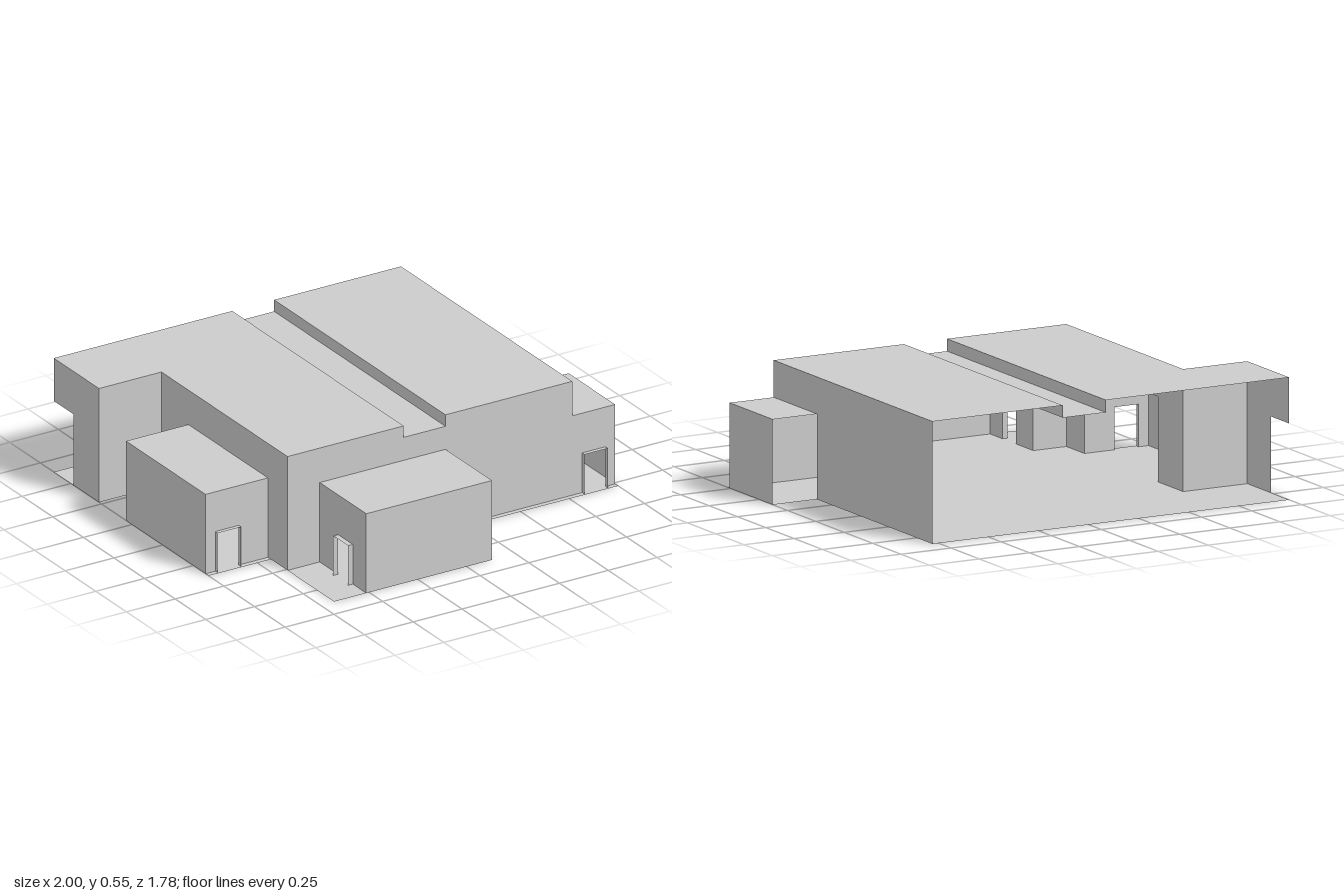
import * as THREE from 'three';

const H = 0.545;   // main roof height
const LOW = 0.38;  // annex roof height
const DOOR = 0.19; // door height
const material = new THREE.MeshStandardMaterial({ color: 0xcccccc, side: THREE.DoubleSide });

// How a flat outline (u, v) is placed for each facing direction
const place = {
  x: (u, v, at) => [at, v, u],
  y: (u, v, at) => [u, at, v],
  z: (u, v, at) => [u, v, at],
};

// Thin flat panel at a fixed coordinate on one axis
function panel(name, axis, at, outline) {
  const shape = new THREE.Shape(outline.map(([u, v]) => new THREE.Vector2(u, v)));
  const geo = new THREE.ShapeGeometry(shape);
  const p = geo.attributes.position;
  for (let i = 0; i < p.count; i++) p.setXYZ(i, ...place[axis](p.getX(i), p.getY(i), at));
  geo.computeVertexNormals();
  const mesh = new THREE.Mesh(geo, material);
  mesh.name = name;
  return mesh;
}

const rect = (u0, v0, u1, v1) => [[u0, v0], [u1, v0], [u1, v1], [u0, v1]];

// Wall outline with a door-sized gap rising from the ground
const gap = (u0, u1, h = DOOR) => [[u0, 0], [u0, h], [u1, h], [u1, 0]];

// Shallow projecting surround made of two jambs and a lintel
function doorFrame(name, axis, from, to, u0, u1) {
  const g = new THREE.Group();
  g.name = name;
  const side = axis === 'z' ? 'x' : 'z';
  for (const u of [u0, u1]) g.add(panel('doorJamb', side, u, rect(from, 0, to, DOOR)));
  g.add(panel('doorLintel', 'y', DOOR,
    axis === 'z' ? rect(u0, from, u1, to) : rect(from, u0, to, u1)));
  return g;
}

export function createModel() {
  const model = new THREE.Group();
  model.name = 'building';
  const add = (...args) => model.add(panel(...args));

  // Floor, extending slightly past the walls
  add('floor', 'y', 0, [
    [-1, -0.89], [0.78, -0.89], [0.78, 0.13], [1, 0.13], [1, 0.535], [0.13, 0.535],
    [0.13, 0.89], [-0.68, 0.89], [-0.68, 0.375], [-1, 0.375], [-1, -0.3],
    [-0.68, -0.3], [-0.68, -0.52], [-1, -0.52],
  ]);

  // Main roof: two raised decks with a sunken channel between them
  add('rightRoof', 'y', H, [
    [-1, -0.89], [-0.085, -0.89], [-0.085, 0.51], [-0.68, 0.51], [-0.68, -0.52], [-1, -0.52],
  ]);
  add('leftRoof', 'y', H, rect(0.13, -0.89, 0.78, 0.51));
  add('roofChannel', 'y', 0.49, rect(-0.085, -0.89, 0.13, 0.51));
  for (const x of [-0.085, 0.13]) add('channelSide', 'x', x, rect(-0.89, 0.49, 0.51, H));

  // Front wall, including the small left annex; the back stays open
  add('frontWall', 'z', 0.51, [
    [-0.68, 0], ...gap(-0.515, 0.13, LOW), ...gap(0.83, 0.95), [1, 0], [1, LOW],
    [0.78, LOW], [0.78, H], [0.13, H], [0.13, 0.49], [-0.085, 0.49], [-0.085, H], [-0.68, H],
  ]);

  // Side walls, open where the annexes join
  add('leftWall', 'x', 0.78, [
    [-0.89, 0], [0.13, 0], [0.13, LOW], [0.51, LOW], [0.51, H], [-0.89, H],
  ]);
  add('rightWall', 'x', -0.68, [
    [-0.52, 0], ...gap(-0.3, 0.35, LOW), [0.51, 0], [0.51, H], [-0.52, H],
  ]);

  // Rear wing with a passage at its open corner
  add('rearWingSide', 'x', -1, [
    [-0.89, 0.34], [-0.73, 0.34], [-0.73, 0], [-0.52, 0], [-0.52, H], [-0.89, H],
  ]);
  add('rearWingFront', 'z', -0.52, rect(-1, 0, -0.68, H));

  // Left annex, open at its back
  add('leftAnnexRoof', 'y', LOW, rect(0.78, 0.13, 1, 0.51));
  add('leftAnnexSide', 'x', 1, rect(0.13, 0, 0.51, LOW));
  model.add(doorFrame('leftAnnexDoor', 'z', 0.51, 0.53, 0.83, 0.95));

  // Right annex
  add('rightAnnexRoof', 'y', LOW, rect(-1, -0.3, -0.68, 0.35));
  add('rightAnnexSide', 'x', -1, rect(-0.3, 0, 0.35, LOW));
  add('rightAnnexBack', 'z', -0.3, rect(-1, 0, -0.68, LOW));
  add('rightAnnexFront', 'z', 0.35, [
    [-1, 0], ...gap(-0.95, -0.83), [-0.68, 0], [-0.68, LOW], [-1, LOW],
  ]);
  model.add(doorFrame('rightAnnexDoor', 'z', 0.35, 0.37, -0.95, -0.83));

  // Front annex with its door on the right side
  add('frontAnnexRoof', 'y', LOW, rect(-0.515, 0.51, 0.13, 0.89));
  add('frontAnnexFront', 'z', 0.89, rect(-0.515, 0, 0.13, LOW));
  add('frontAnnexLeft', 'x', 0.13, rect(0.51, 0, 0.89, LOW));
  add('frontAnnexRight', 'x', -0.515, [
    [0.51, 0], ...gap(0.66, 0.78), [0.89, 0], [0.89, LOW], [0.51, LOW],
  ]);
  model.add(doorFrame('frontAnnexDoor', 'x', -0.515, -0.54, 0.66, 0.78));

  return model;
}
